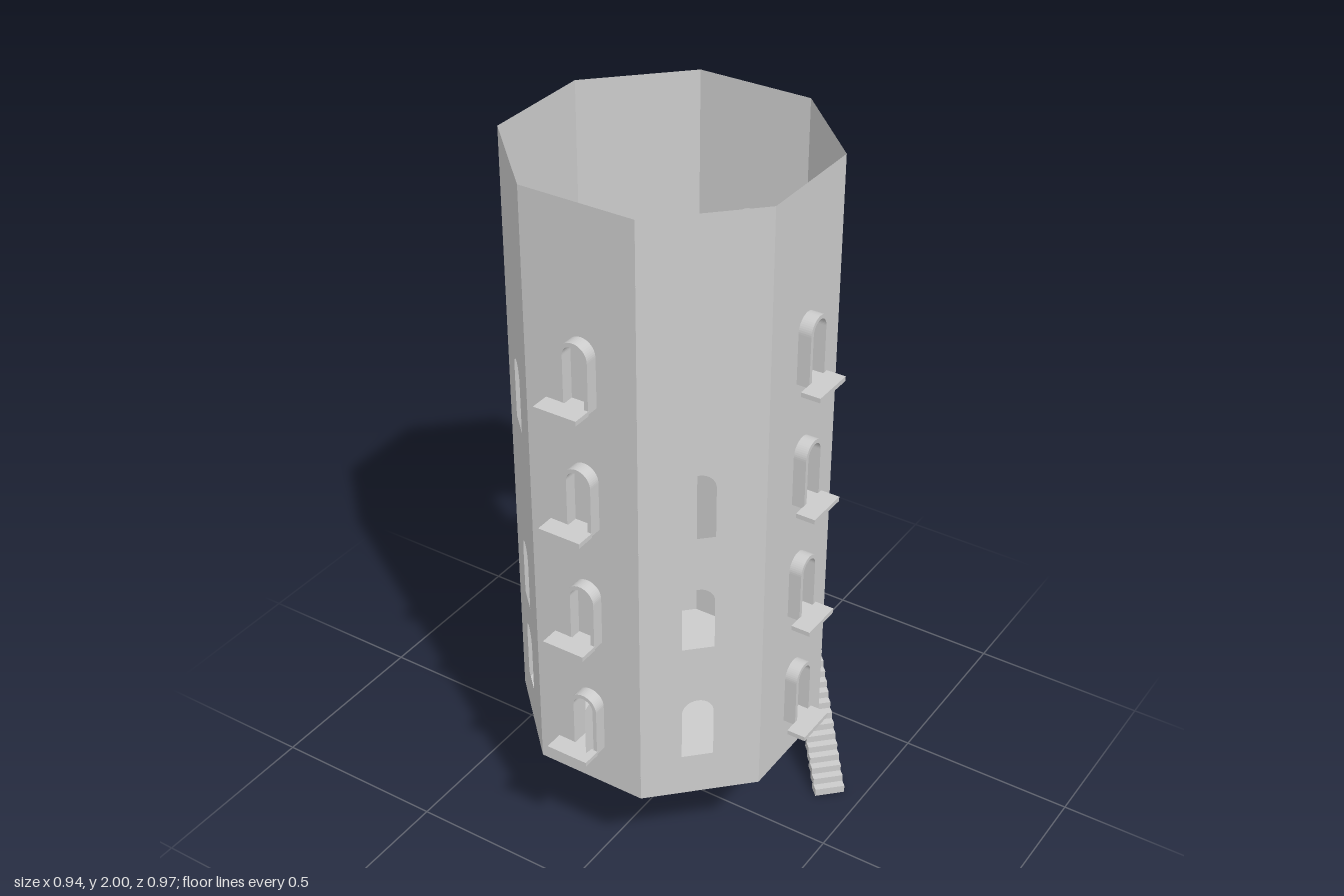
import * as THREE from 'three';

const APOTHEM = 0.385, SIDE = 0.319, BASE = 0.3, TOP = 2;
const LEVELS = [0.425, 0.775, 1.125, 1.475];

// Round-headed opening: centre x, sill y, half width, total height
function arch(target, x, y, r, h) {
  target.moveTo(x - r, y);
  target.lineTo(x + r, y);
  target.lineTo(x + r, y + h - r);
  target.absarc(x, y + h - r, r, 0, Math.PI, false);
  target.lineTo(x - r, y);
  return target;
}

export function createModel() {
  const model = new THREE.Group();
  const stone = new THREE.MeshStandardMaterial({ color: 0xcccccc, side: THREE.DoubleSide });
  stone.name = 'pale grey stone';

  const add = (parent, name, geometry, x = 0, y = 0, z = 0) => {
    const mesh = new THREE.Mesh(geometry, stone);
    mesh.name = name;
    mesh.position.set(x, y, z);
    parent.add(mesh);
    return mesh;
  };

  const tower = new THREE.Group();
  tower.name = 'tower';
  tower.position.z = 0.01;
  model.add(tower);

  // Sills of the plain windows in the diagonal walls, keyed by wall number
  const sills = {
    1: [0.425, 0.78, 1.12],
    3: [0.37, 0.7, 1.225],
    5: [0.425, 0.67, 1.225],
    7: [0.425, 0.7, 1.255],
  };
  const shift = { 1: -0.008, 3: -0.004, 5: -0.004, 7: -0.008 };

  // Arched surround, shared by all balconies
  const surround = arch(new THREE.Shape(), 0, 0, 0.041, 0.18);
  surround.holes.push(arch(new THREE.Path(), 0, 0.006, 0.03, 0.163));
  const surroundGeo = new THREE.ExtrudeGeometry(surround, { depth: 0.053, bevelEnabled: false, curveSegments: 12 });
  const slabGeo = new THREE.BoxGeometry(0.122, 0.013, 0.053);

  for (let i = 0; i < 8; i++) {
    const side = new THREE.Group();
    side.name = 'side' + (i + 1);
    side.rotation.y = i * Math.PI / 4;
    tower.add(side);

    const wall = new THREE.Shape();
    wall.moveTo(-SIDE / 2, BASE);
    wall.lineTo(SIDE / 2, BASE);
    wall.lineTo(SIDE / 2, TOP);
    wall.lineTo(-SIDE / 2, TOP);
    wall.closePath();

    if (i % 2) {
      for (const y of sills[i]) wall.holes.push(arch(new THREE.Path(), shift[i], y, 0.042, 0.185));
    } else {
      // The lowest doorways at front and back are open
      if (i % 4 === 0) wall.holes.push(arch(new THREE.Path(), 0.005, LEVELS[0] + 0.006, 0.03, 0.163));
      for (const y of LEVELS) {
        add(side, 'archSurround', surroundGeo, 0.005, y, APOTHEM - 0.018);
        add(side, 'balconySlab', slabGeo, -0.014, y + 0.003, APOTHEM + 0.061);
      }
    }
    add(side, 'wall', new THREE.ShapeGeometry(wall, 12), 0, 0, APOTHEM);

    // Door leaf standing open inside the front doorway
    if (i === 0) {
      const leaf = new THREE.ShapeGeometry(arch(new THREE.Shape(), -0.029, 0, 0.029, 0.16), 12);
      const door = add(side, 'doorLeaf', leaf, 0.034, LEVELS[0] + 0.007, APOTHEM - 0.002);
      door.rotation.y = Math.PI * 0.45;
    }
  }

  // Octagonal floor
  const floor = new THREE.CircleGeometry(APOTHEM / Math.cos(Math.PI / 8), 8, Math.PI / 8);
  add(tower, 'floor', floor, 0, BASE, 0).rotation.x = Math.PI / 2;

  // Landing outside the back doorway
  add(model, 'landing', new THREE.BoxGeometry(0.13, 0.013, 0.105), -0.035, 0.428, -0.407);

  // Straight flight of overlapping slab steps rising from start to end
  const flight = (name, count, start, end, y0, width) => {
    const group = new THREE.Group();
    group.name = name;
    model.add(group);
    const dx = end[0] - start[0], dz = end[1] - start[1];
    const step = new THREE.BoxGeometry(0.035, 0.023, width);
    for (let i = 0; i < count; i++) {
      const t = i / (count - 1);
      const mesh = add(group, 'step', step, start[0] + dx * t, y0 + i * 0.0207 + 0.0115, start[1] + dz * t);
      mesh.rotation.y = Math.atan2(-dz, dx);
    }
  };
  flight('lowerStairs', 14, [0.403, -0.197], [0.202, -0.398], 0, 0.085);
  flight('upperStairs', 6, [0.182, -0.437], [0.079, -0.437], 0.29, 0.095);

  return model;
}
